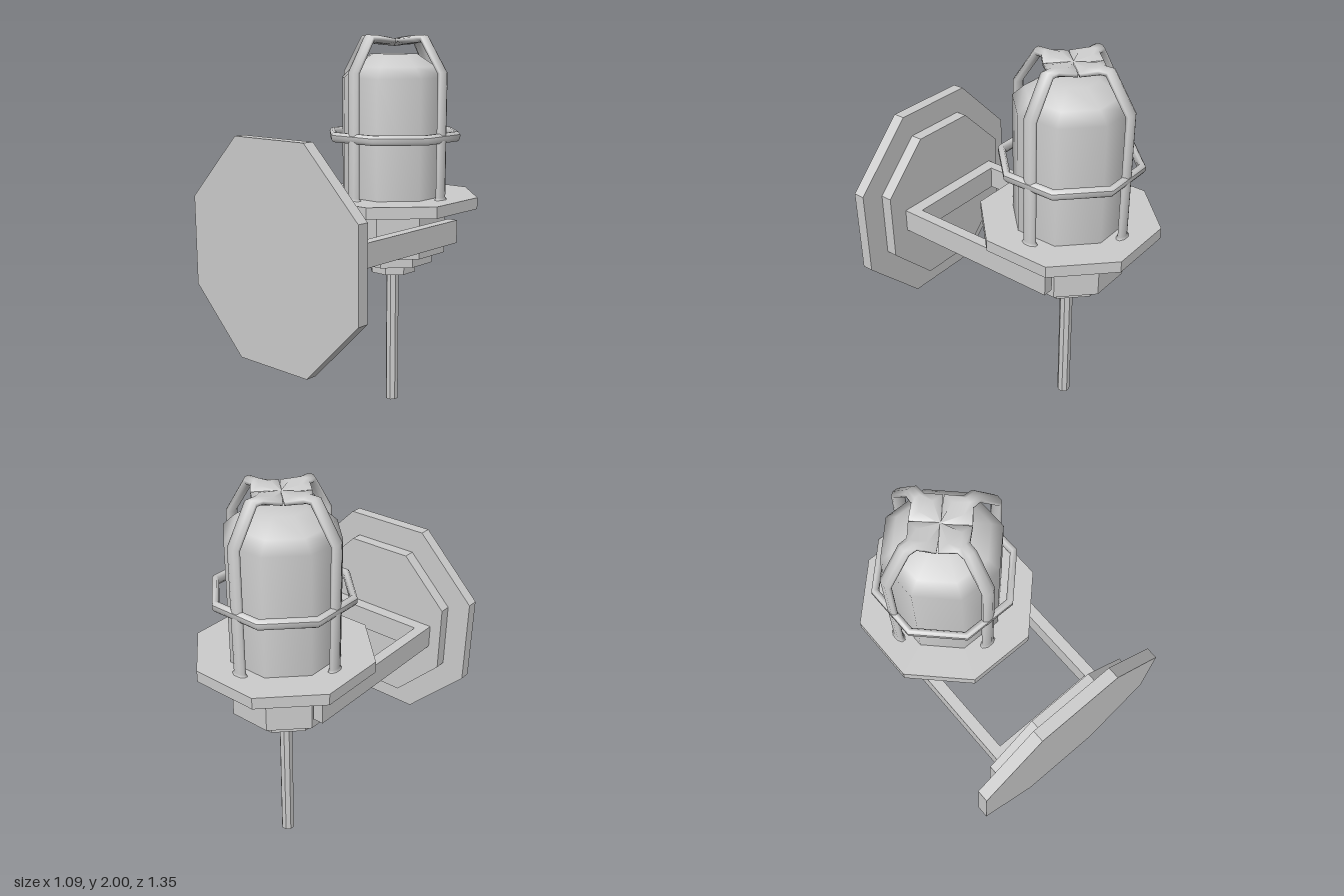
import * as THREE from 'three';

const smooth = new THREE.MeshStandardMaterial({ color: 0xcccccc });
const flat = new THREE.MeshStandardMaterial({ color: 0xcccccc, flatShading: true });
const EIGHTH = Math.PI / 8;
const corner = (half) => half / Math.cos(EIGHTH); // flat-to-flat half width -> corner radius

function add(parent, name, geometry, material = flat) {
  const mesh = new THREE.Mesh(geometry, material);
  mesh.name = name;
  parent.add(mesh);
  return mesh;
}

// Eight-sided slab standing between two heights, flats facing the axes
function octagon(half, y0, y1) {
  const r = corner(half);
  return new THREE.CylinderGeometry(r, r, y1 - y0, 8).rotateY(EIGHTH).translate(0, (y0 + y1) / 2, 0);
}

// Eight-sided lathe from [half width, y] pairs
function lathe(profile) {
  return new THREE.LatheGeometry(profile.map(([h, y]) => new THREE.Vector2(corner(h), y)), 8, EIGHTH);
}

// Sweep an oval section along [radius, y, half width, half thickness] stations
function cageBar(path, sides = 8) {
  const pos = [], index = [];
  const dir = (a, b) => new THREE.Vector2(b[0] - a[0], b[1] - a[1]).normalize();
  path.forEach((p, i) => {
    const before = dir(path[Math.max(i - 1, 0)], path[Math.max(i, 1)]);
    const after = i < path.length - 1 ? dir(p, path[i + 1]) : before;
    const t = before.clone().add(after).normalize();
    const thick = p[3] / t.dot(before);
    for (let j = 0; j < sides; j++) {
      const a = ((j + 0.5) / sides) * Math.PI * 2;
      const n = (Math.cos(a) * thick) / Math.cos(Math.PI / sides);
      const w = (Math.sin(a) * p[2]) / Math.cos(Math.PI / sides);
      pos.push(p[0] + t.y * n, p[1] - t.x * n, w);
      if (i === path.length - 1) continue;
      const k = (j + 1) % sides, A = i * sides, B = A + sides;
      index.push(A + j, B + j, A + k, B + j, B + k, A + k);
    }
  });
  const g = new THREE.BufferGeometry();
  g.setAttribute('position', new THREE.Float32BufferAttribute(pos, 3));
  g.setIndex(index);
  g.computeVertexNormals();
  return g;
}

export function createModel() {
  const model = new THREE.Group();
  model.name = 'wallLamp';

  // Stepped wall plate
  for (const [name, half, z0, z1] of [['outerPlate', 0.545, 0.615, 0.675], ['innerPlate', 0.42, 0.555, 0.615]]) {
    add(model, name, octagon(half, z0, z1).rotateX(Math.PI / 2)).position.y = 0.99;
  }

  // U-shaped bracket
  const bracket = new THREE.Group();
  bracket.name = 'bracket';
  bracket.position.set(-0.018, 0.988, 0);
  model.add(bracket);
  add(bracket, 'crossbar', new THREE.BoxGeometry(0.564, 0.122, 0.065)).position.z = 0.5225;
  for (const s of [-1, 1]) {
    add(bracket, 'bracketArm', new THREE.BoxGeometry(0.056, 0.122, 0.915)).position.set(s * 0.31, 0, 0.0975);
  }

  // Lamp: everything around the vertical axis
  const lamp = new THREE.Group();
  lamp.name = 'lamp';
  lamp.position.set(-0.023, 0, -0.247);
  model.add(lamp);
  add(lamp, 'rod', octagon(0.032, 0, 0.745));
  add(lamp, 'lowerStep', octagon(0.117, 0.745, 0.805));
  add(lamp, 'upperStep', octagon(0.203, 0.805, 0.865));
  add(lamp, 'socket', octagon(0.265, 0.865, 1.11));
  add(lamp, 'flange', octagon(0.425, 1.11, 1.17));
  add(lamp, 'globe', lathe([[0.265, 1.165], [0.265, 1.785], [0.21, 1.84], [0.115, 1.905], [0, 1.905]]), smooth);

  // Protective cage: ring, four bars and the webbed crown where they meet
  const ring = [];
  for (let i = 0; i <= 8; i++) {
    const a = (i / 8 + 1 / 16) * Math.PI * 2;
    ring.push([0.317 + 0.018 * Math.cos(a), 1.486 + 0.027 * Math.sin(a)]);
  }
  add(lamp, 'cageRing', lathe(ring), smooth);
  const path = [
    [0.315, 1.168, 0.042, 0.024], [0.315, 1.182, 0.032, 0.017], [0.315, 1.81, 0.032, 0.017],
    [0.197, 1.981, 0.032, 0.018], [0.155, 1.98, 0.034, 0.018], [0.1, 1.972, 0.095, 0.018], [0, 1.962, 0.004, 0.018],
  ];
  for (let i = 0; i < 4; i++) {
    add(lamp, 'cageBar', cageBar(path), smooth).rotation.y = (i * Math.PI) / 2;
  }
  return model;
}
